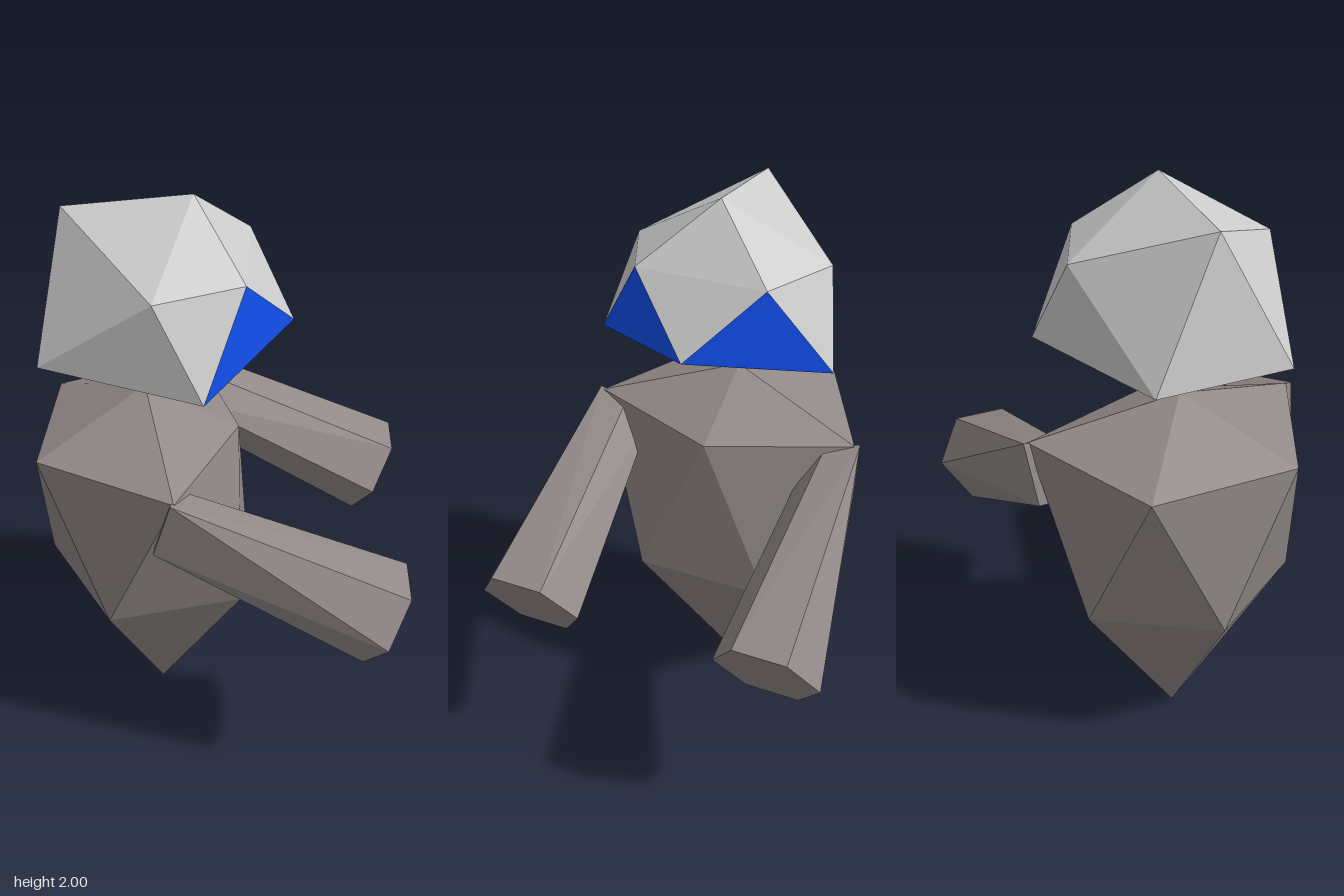
import * as THREE from 'three';
import { ConvexGeometry } from 'three/addons/geometries/ConvexGeometry.js';

const paint = (color) => new THREE.MeshStandardMaterial({ color, flatShading: true });

// Points off the z = 0 plane are mirrored to the other side
const mirrored = (points) => points.flatMap(([x, y, z]) =>
  z === 0 ? [new THREE.Vector3(x, y, 0)]
    : [new THREE.Vector3(x, y, z), new THREE.Vector3(x, y, -z)]);

function addMesh(group, name, geometry, material) {
  const mesh = new THREE.Mesh(geometry, material);
  mesh.name = name;
  group.add(mesh);
}

// Keep only the triangles whose centre passes the test
function pickFaces(geometry, test) {
  const p = geometry.attributes.position;
  const kept = [];
  for (let i = 0; i < p.count; i += 3) {
    const tri = [0, 1, 2].map((k) => new THREE.Vector3().fromBufferAttribute(p, i + k));
    const centre = new THREE.Vector3().add(tri[0]).add(tri[1]).add(tri[2]).divideScalar(3);
    if (test(centre)) kept.push(...tri);
  }
  const result = new THREE.BufferGeometry().setFromPoints(kept);
  result.computeVertexNormals();
  return result;
}

// Six-sided arm: narrow shoulder ring to a regular hexagonal end
function armGeometry(side) {
  const points = [
    [-0.14, 1.205, 0.48], [-0.13, 1.18, 0.475], [-0.2, 1.0, 0.46],
    [-0.2, 1.0, 0.36], [-0.16, 1.1, 0.3], [-0.13, 1.19, 0.37],
  ].map(([x, y, z]) => new THREE.Vector3(x, y, z * side));
  for (let i = 0; i < 6; i++) {
    const a = (i * Math.PI) / 3;
    const up = 0.18 * Math.sin(a);
    points.push(new THREE.Vector3(0.545 + up * 0.425, 0.752 + up * 0.88,
      (0.42 + 0.18 * Math.cos(a)) * side));
  }
  return new ConvexGeometry(points);
}

export function createModel() {
  const model = new THREE.Group();
  const grey = paint(0xcccccc);
  const stone = paint(0x918987);
  const blue = paint(0x1150f0);

  // Head: a twenty-sided gem with two blue eye facets
  const headHull = new ConvexGeometry(mirrored([
    [-0.09, 2.0, 0], [-0.49, 1.955, 0], [-0.19, 1.8, 0.33], [0.075, 1.81, 0.215],
    [0.22, 1.595, 0], [-0.04, 1.515, 0.4], [-0.56, 1.525, 0.22], [-0.22, 1.345, 0],
  ]));
  const isEye = (c) => c.x > 0.05 && c.y < 1.7;
  addMesh(model, 'head', pickFaces(headHull, (c) => !isEye(c)), grey);
  addMesh(model, 'eyes', pickFaces(headHull, isEye), blue);

  // Body: a stretched gem tapering to a point
  addMesh(model, 'body', new ConvexGeometry(mirrored([
    [-0.26, 1.34, 0], [0.05, 1.19, 0], [-0.13, 1.2, 0.465], [-0.59, 1.19, 0.245],
    [-0.62, 0.65, 0], [-0.37, 0.63, 0.37], [0.07, 0.63, 0.24], [-0.24, 0, 0],
  ])), stone);

  // Arms
  addMesh(model, 'frontArm', armGeometry(1), stone);
  addMesh(model, 'backArm', armGeometry(-1), stone);
  return model;
}
